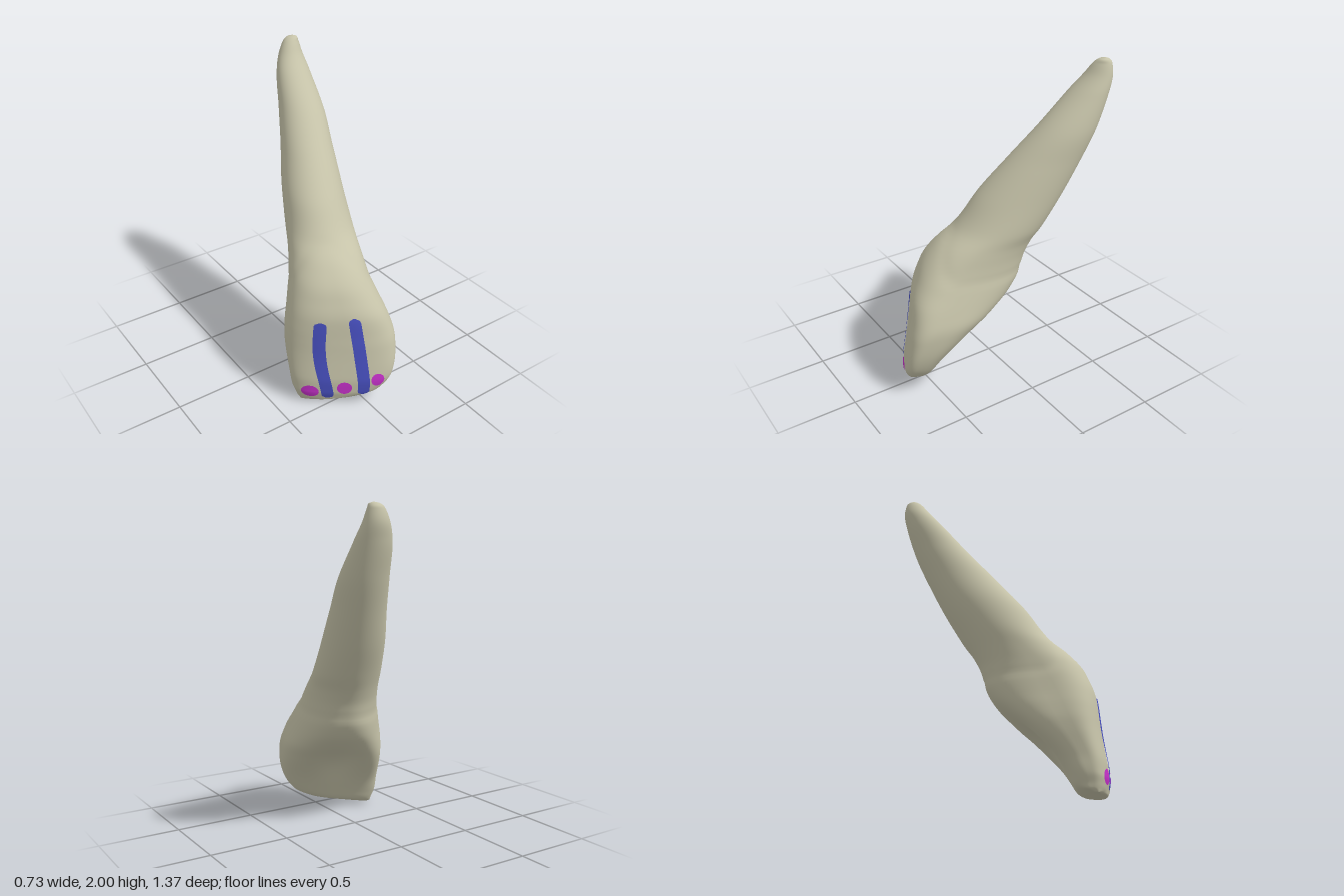
import * as THREE from 'three';

const enamel = new THREE.MeshStandardMaterial({ color: 0xc6c3a9 });
const blue = new THREE.MeshStandardMaterial({ color: 0x4850c0 });
const magenta = new THREE.MeshStandardMaterial({ color: 0xc832cc });
enamel.name = 'ivory';
blue.name = 'blue';
magenta.name = 'magenta';

// Level sections: y, xMin, xMax, zMin, zMax, depth/width ratio, lingual taper
const SECTIONS = [
  [0.00, -0.325, -0.285, 0.34, 0.39, 0.6, 0],
  [0.02, -0.335, -0.16, 0.285, 0.49, 0.5, 0],
  [0.05, -0.345, 0.02, 0.262, 0.595, 0.42, 0],
  [0.10, -0.36, 0.12, 0.238, 0.655, 0.4, 0],
  [0.20, -0.367, 0.19, 0.19, 0.685, 0.45, 0.05],
  [0.40, -0.36, 0.265, 0.035, 0.655, 0.7, 0.12],
  [0.50, -0.35, 0.285, -0.045, 0.625, 0.9, 0.16],
  [0.60, -0.33, 0.28, -0.115, 0.59, 1.12, 0.2],
  [0.70, -0.3, 0.272, -0.155, 0.53, 1.28, 0.2],
  [0.80, -0.26, 0.265, -0.175, 0.46, 1.35, 0.15],
  [0.90, -0.207, 0.273, -0.22, 0.365, 1.33, 0.1],
  [1.00, -0.16, 0.3, -0.28, 0.238, 1.32, 0.06],
  [1.20, -0.098, 0.325, -0.4, 0.09, 1.38, 0.03],
  [1.40, -0.015, 0.347, -0.5, -0.075, 1.36, 0.03],
  [1.60, 0.063, 0.367, -0.59, -0.25, 1.25, 0.03],
  [1.80, 0.13, 0.357, -0.66, -0.437, 1.2, 0],
  [1.90, 0.18, 0.342, -0.68, -0.525, 1.2, 0],
  [1.97, 0.225, 0.326, -0.67, -0.57, 1.15, 0],
  [1.992, 0.253, 0.316, -0.65, -0.588, 1.0, 0],
  [2.00, 0.285, 0.295, -0.624, -0.614, 1.0, 0],
];
const SIDES = 96, RINGS = 130;

// Smooth, non-overshooting interpolation of one section column
function sample(y, col) {
  const S = SECTIONS, last = S.length - 1;
  let i = 0;
  while (i < last - 1 && y > S[i + 1][0]) i++;
  const secant = k => (S[k + 1][col] - S[k][col]) / (S[k + 1][0] - S[k][0]);
  const slope = k => {
    if (k === 0) return secant(0);
    if (k === last) return secant(last - 1);
    const a = secant(k - 1), b = secant(k);
    return a * b > 0 ? 2 * a * b / (a + b) : 0;
  };
  const h = S[i + 1][0] - S[i][0];
  const t = THREE.MathUtils.clamp((y - S[i][0]) / h, 0, 1), u = 1 - t;
  return S[i][col] * (1 + 2 * t) * u * u + S[i + 1][col] * t * t * (3 - 2 * t)
    + h * (slope(i) * t * u * u - slope(i + 1) * t * t * u);
}

// One horizontal ring, as [x, z] points, fitted to its section bounds
function ring(y) {
  const [x0, x1, z0, z1, ratio, taper] = [1, 2, 3, 4, 5, 6].map(c => sample(y, c));
  const crown = 1 - THREE.MathUtils.smoothstep(y, 0.5, 1.05);
  const scoop = Math.exp(-(((y - 0.38) / 0.15) ** 2));
  const pts = [];
  for (let j = 0; j < SIDES; j++) {
    const a = j / SIDES * Math.PI * 2, c = Math.cos(a), s = Math.sin(a);
    // flatter labial face, fuller distal side
    const power = 2 / (2 + (s > 0 ? 0.9 : 0.8) * crown);
    let w = Math.sign(c) * Math.abs(c) ** power;
    let n = Math.sign(s) * Math.abs(s) ** power;
    w *= (1 + taper * n) * (1 + 0.12 * crown * Math.max(0, c));
    n *= ratio * (s > 0 ? 1 - 0.18 * crown : 1 + 0.12 * crown);
    // scooped lingual face
    if (s < 0) n += 0.26 * scoop * s * s * Math.exp(-((w / 0.52) ** 2));
    pts.push([0.87 * w - 0.5 * n, 0.5 * w + 0.87 * n]);
  }
  const xs = pts.map(p => p[0]), zs = pts.map(p => p[1]);
  const fit = (v, list, lo, hi) => {
    const a = Math.min(...list), b = Math.max(...list);
    return lo + (hi - lo) * (v - a) / (b - a);
  };
  const cx = (x0 + x1) / 2, cz = (z0 + z1) / 2;
  return pts.map(([x, z], j) => {
    // groove along the gum line, arched on the labial side
    const s = Math.sin(j / SIDES * Math.PI * 2);
    const neck = 0.73 + 0.25 * Math.max(0, s) ** 1.6;
    const k = 1 - 0.018 * Math.exp(-(((y - neck) / 0.03) ** 2));
    return [cx + (fit(x, xs, x0, x1) - cx) * k, cz + (fit(z, zs, z0, z1) - cz) * k];
  });
}

// Crown and root as one continuous loft
function toothGeometry() {
  const pos = [], idx = [];
  for (let i = 0; i <= RINGS; i++) {
    const y = 1 - Math.cos(Math.PI * i / RINGS);
    for (const [x, z] of ring(y)) pos.push(x, y, z);
  }
  for (let i = 0; i < RINGS; i++) {
    for (let j = 0; j < SIDES; j++) {
      const k = (j + 1) % SIDES;
      const a = i * SIDES + j, b = i * SIDES + k;
      idx.push(a, a + SIDES, b, b, a + SIDES, b + SIDES);
    }
  }
  const bottom = pos.length / 3, top = bottom + 1, lastRing = RINGS * SIDES;
  pos.push(-0.305, 0, 0.365, 0.29, 2, -0.619);
  for (let j = 0; j < SIDES; j++) {
    const k = (j + 1) % SIDES;
    idx.push(bottom, j, k, top, lastRing + k, lastRing + j);
  }
  const g = new THREE.BufferGeometry();
  g.setAttribute('position', new THREE.Float32BufferAttribute(pos, 3));
  g.setIndex(idx);
  g.computeVertexNormals();
  return g;
}

// Front surface depth at (x, y)
function frontZ(x, y) {
  const pts = ring(y);
  const xs = pts.map(p => p[0]);
  const px = THREE.MathUtils.clamp(x, Math.min(...xs) + 0.002, Math.max(...xs) - 0.002);
  let best = -Infinity;
  pts.forEach(([ax, az], j) => {
    const [bx, bz] = pts[(j + 1) % SIDES];
    if ((ax - px) * (bx - px) <= 0 && ax !== bx) {
      best = Math.max(best, az + (bz - az) * (px - ax) / (bx - ax));
    }
  });
  return best;
}

// Lay a flat geometry on the labial face
function drape(geometry) {
  const p = geometry.attributes.position;
  for (let i = 0; i < p.count; i++) p.setZ(i, frontZ(p.getX(i), p.getY(i)) + 0.007);
  geometry.computeVertexNormals();
  return geometry;
}

function stripeGeometry(points, halfWidth) {
  const curve = new THREE.CatmullRomCurve3(points.map(([x, y]) => new THREE.Vector3(x, y, 0)));
  const g = new THREE.PlaneGeometry(2, 1, 6, 48);
  const p = g.attributes.position;
  for (let i = 0; i < p.count; i++) {
    const t = 0.5 - p.getY(i), c = curve.getPoint(t);
    const end = Math.min(1, Math.min(t, 1 - t) / 0.05);
    const w = halfWidth * Math.sqrt(Math.max(0.04, 1 - (1 - end) ** 2));
    p.setXY(i, c.x + p.getX(i) * w, c.y);
  }
  return drape(g);
}

export function createModel() {
  const model = new THREE.Group();
  model.name = 'incisorTooth';
  const add = (name, geometry, material) => {
    const mesh = new THREE.Mesh(geometry, material);
    mesh.name = name;
    model.add(mesh);
  };

  add('crownAndRoot', toothGeometry(), enamel);

  // Painted grooves
  add('rightStripe', stripeGeometry([[-0.232, 0.6], [-0.247, 0.42], [-0.243, 0.25], [-0.217, 0.048]], 0.031), blue);
  add('leftStripe', stripeGeometry([[-0.06, 0.625], [-0.046, 0.42], [-0.038, 0.25], [-0.033, 0.078]], 0.033), blue);

  // Painted spots above the biting edge
  [[-0.305, 0.1], [-0.137, 0.135], [0.044, 0.188]].forEach(([x, y], i) => {
    const g = new THREE.RingGeometry(0.0005, 0.039, 28, 5).scale(1, 1.18, 1).translate(x, y, 0);
    add('spot' + (i + 1), drape(g), magenta);
  });
  return model;
}
